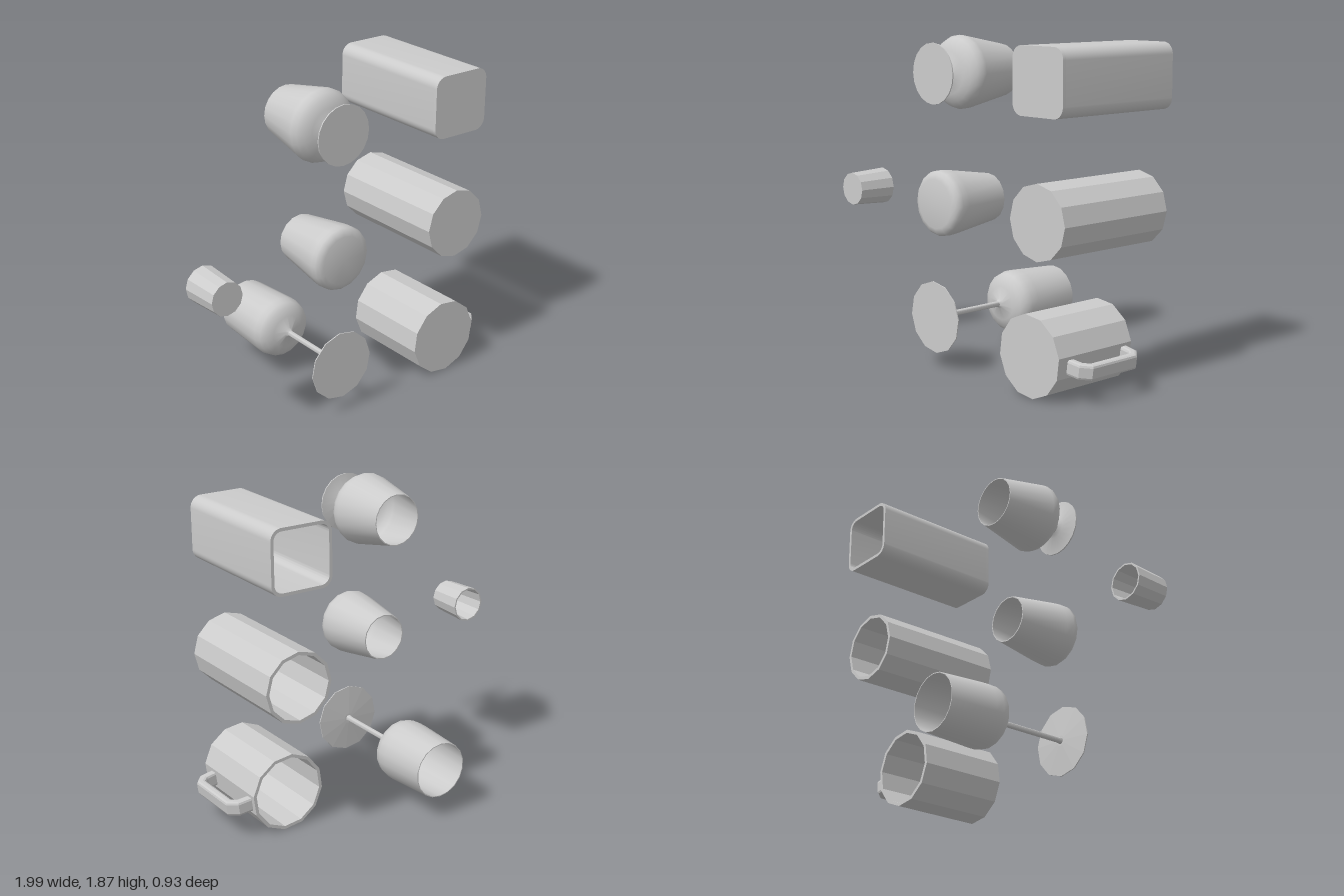
import * as THREE from 'three';
import { toCreasedNormals } from 'three/addons/utils/BufferGeometryUtils.js';

const BASE = 0.467; // z of every base; all vessels lie with their openings towards -z
const smooth = new THREE.MeshStandardMaterial({ color: 0xcccccc });
const flat = new THREE.MeshStandardMaterial({ color: 0xcccccc, flatShading: true });

function add(parent, name, geometry, material) {
  const mesh = new THREE.Mesh(geometry, material);
  mesh.name = name;
  parent.add(mesh);
  return mesh;
}

// Turns a [radius, distance from base] profile into a vessel lying along -z
function turned(profile, sides, turn = 0) {
  const points = profile.map(([r, d]) => new THREE.Vector2(r, d));
  const geo = new THREE.LatheGeometry(points, sides, turn);
  geo.rotateX(-Math.PI / 2);
  return geo;
}

// Closed profile of a straight cup: outside up, over the rim, inside down
function cupProfile(rBase, rRim, height, wall, floor) {
  return [[0, 0], [rBase, 0], [rRim, height], [rRim - wall, height], [rBase - wall, floor], [0, floor]];
}

// Adds the inside of a thin-walled bowl, from rim to centre
function hollow(outside, bowlStart, wall) {
  const inside = outside.slice(bowlStart).reverse().map(([r, d], i) => [Math.max(r - wall, 0.004), i ? d + wall : d]);
  const last = inside[inside.length - 1];
  return [...outside, ...inside, [0, last[1]]];
}

function roundedSquare(Type, w, h, r) {
  const s = new Type(), x = w / 2, y = h / 2;
  s.absarc(x - r, y - r, r, 0, Math.PI / 2);
  s.absarc(-x + r, y - r, r, Math.PI / 2, Math.PI);
  s.absarc(-x + r, -y + r, r, Math.PI, Math.PI * 1.5);
  s.absarc(x - r, -y + r, r, Math.PI * 1.5, Math.PI * 2);
  s.closePath();
  return s;
}

export function createModel() {
  const model = new THREE.Group();
  model.name = 'glassware';

  const place = (name, x, y) => {
    const group = new THREE.Group();
    group.name = name;
    group.position.set(x, y, BASE);
    model.add(group);
    return group;
  };
  const crease = (geo) => toCreasedNormals(geo, 0.7);

  // Small shot glass
  const shot = place('shotGlass', -0.89, 0.945);
  add(shot, 'shotCup', turned(cupProfile(0.096, 0.107, 0.226, 0.009, 0.025), 12), flat);

  // Tall twelve-sided glass
  const tall = place('tallGlass', 0.7, 0.945);
  add(tall, 'tallCup', turned(cupProfile(0.205, 0.205, 0.772, 0.019, 0.02), 12), flat);

  // Square glass: rounded floor plate and hollow walls
  const square = place('squareGlass', 0.7, 1.67);
  const plate = roundedSquare(THREE.Shape, 0.37, 0.362, 0.065);
  const floor = new THREE.ExtrudeGeometry(plate, { depth: 0.02, bevelEnabled: false, curveSegments: 6 });
  add(square, 'squareFloor', crease(floor.translate(0, 0, -0.02)), smooth);
  const ring = roundedSquare(THREE.Shape, 0.37, 0.362, 0.065);
  ring.holes.push(roundedSquare(THREE.Path, 0.334, 0.326, 0.048));
  const walls = new THREE.ExtrudeGeometry(ring, { depth: 0.802, bevelEnabled: false, curveSegments: 6 });
  add(square, 'squareWalls', crease(walls.translate(0, 0, -0.822)), smooth);

  // Tumbler with a rounded base, narrowing to the rim
  const tumbler = place('tumbler', -0.122, 0.945);
  const tumblerOutside = [[0, 0], [0.14, 0], [0.165, 0.008], [0.182, 0.026], [0.187, 0.052], [0.182, 0.1], [0.136, 0.4]];
  add(tumbler, 'tumblerCup', crease(turned(hollow(tumblerOutside, 1, 0.006), 16)), smooth);

  // Short-stemmed snifter
  const snifter = place('snifter', -0.132, 1.668);
  const snifterOutside = [
    [0, 0], [0.17, 0], [0.17, 0.007], [0.07, 0.024], [0.046, 0.04], [0.04, 0.065], [0.04, 0.095],
    [0.06, 0.106], [0.12, 0.117], [0.165, 0.135], [0.193, 0.16], [0.207, 0.192], [0.205, 0.218], [0.148, 0.507],
  ];
  add(snifter, 'snifterBody', crease(turned(hollow(snifterOutside, 6, 0.005), 20)), smooth);

  // Long-stemmed wine glass
  const wine = place('wineGlass', -0.132, 0.298);
  add(wine, 'wineFoot', turned([[0, 0], [0.205, 0], [0.205, 0.006], [0.03, 0.018], [0, 0.018]], 12, -0.07), flat);
  const wineOutside = [
    [0.02, 0.012], [0.016, 0.04], [0.016, 0.48], [0.03, 0.493], [0.1, 0.508], [0.145, 0.525],
    [0.17, 0.55], [0.181, 0.59], [0.181, 0.64], [0.165, 0.934],
  ];
  add(wine, 'wineStemAndBowl', crease(turned(hollow(wineOutside, 3, 0.005), 18)), smooth);

  // Mug, turned so its handle dips slightly
  const mug = place('mug', 0.642, 0.227);
  mug.rotation.z = -0.13;
  add(mug, 'mugCup', turned(cupProfile(0.227, 0.227, 0.544, 0.019, 0.02), 12, Math.PI / 12), flat);

  // Handle: chamfered bracket, drawn as [out from axis, distance from base]
  const bracket = [
    [0.209, 0.065], [0.3, 0.072], [0.35, 0.125], [0.35, 0.455], [0.3, 0.508], [0.209, 0.515],
    [0.209, 0.466], [0.275, 0.46], [0.302, 0.435], [0.302, 0.145], [0.275, 0.12], [0.209, 0.114],
  ];
  const handle = new THREE.ExtrudeGeometry(new THREE.Shape(bracket.map(([x, d]) => new THREE.Vector2(x, d))), {
    depth: 0.056, bevelThickness: 0.015, bevelSize: 0.015, bevelOffset: -0.015, bevelSegments: 2,
  });
  handle.translate(0, 0, -0.028).rotateX(-Math.PI / 2);
  add(mug, 'mugHandle', handle, flat);

  return model;
}
